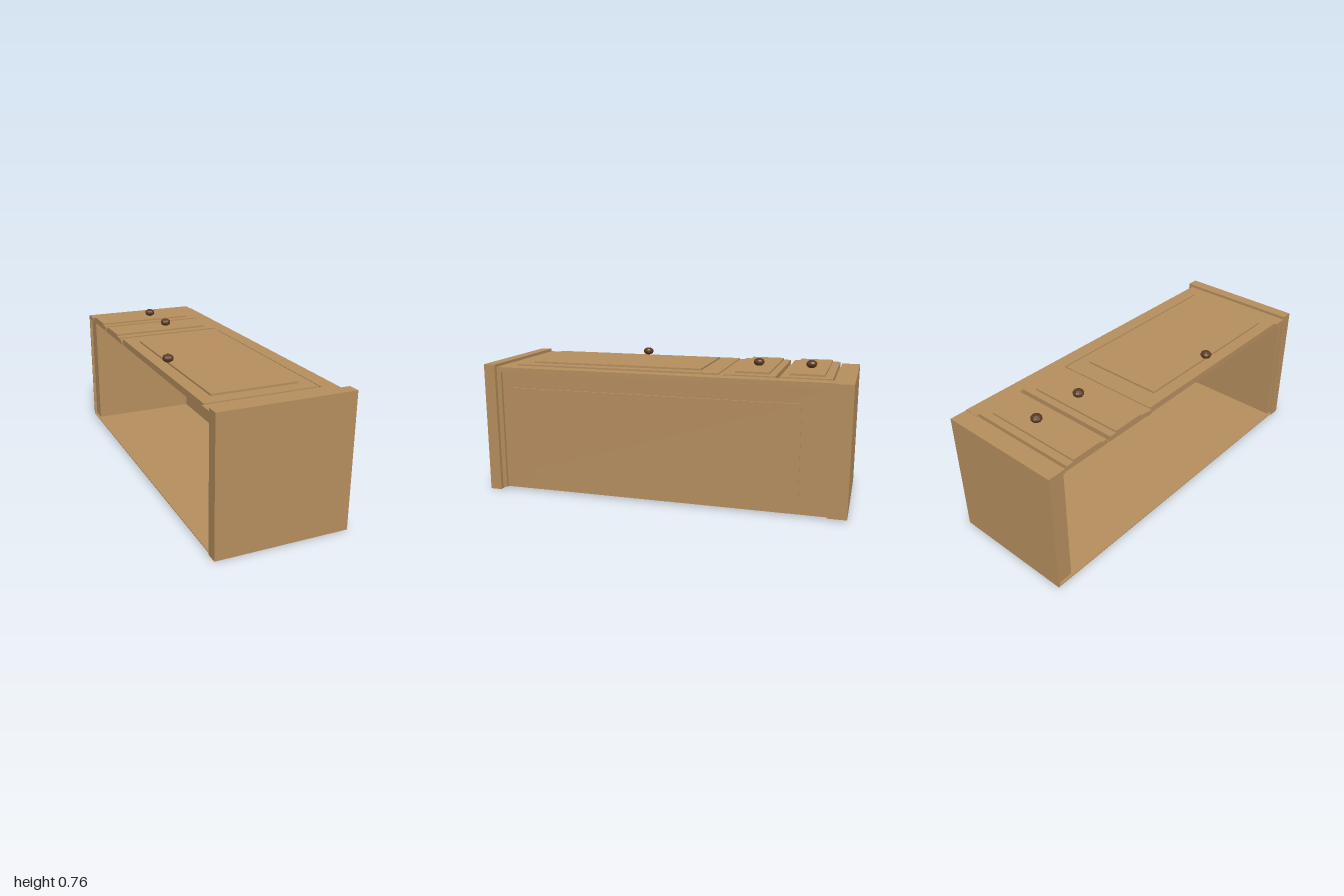
import * as THREE from 'three';

export function createModel() {
  const model = new THREE.Group();
  model.name = 'cabinet';
  const wood = new THREE.MeshStandardMaterial({ color: 0xb58e5e });
  wood.name = 'wood';
  const darkWood = new THREE.MeshStandardMaterial({ color: 0x5c3a20, flatShading: true });
  darkWood.name = 'dark wood';

  // Box given by its minimum and maximum on each axis
  function box(name, [x0, x1], [y0, y1], [z0, z1]) {
    const mesh = new THREE.Mesh(new THREE.BoxGeometry(x1 - x0, y1 - y0, z1 - z0), wood);
    mesh.position.set((x0 + x1) / 2, (y0 + y1) / 2, (z0 + z1) / 2);
    mesh.name = name;
    model.add(mesh);
  }

  const LEFT = -0.357, RIGHT = 0.335, BASE = 0.01, TOP = 0.706;

  // Carcass, open on the -x side
  box('counterSlab', [LEFT, 0.357], [0, 0.722], [0.935, 1]);
  box('backBoard', [LEFT, 0.318], [BASE, 0.015], [-1, 0.935]);
  box('endBoard', [LEFT, RIGHT], [BASE, 0.703], [-1, -0.99]);
  box('endBlock', [-0.342, RIGHT], [BASE, 0.68], [-0.99, -0.9]);
  box('innerStile', [-0.342, RIGHT], [BASE, 0.68], [0.91, 0.935]);

  // Recessed side with its raised panel
  box('sideBoard', [0.29, 0.318], [BASE, 0.68], [-0.9, 0.91]);
  box('sidePanel', [0.318, 0.327], [0.095, 0.592], [-0.75, 0.845]);

  // Face frame around the door and drawers
  box('frameBacking', [-0.345, 0.27], [0.675, 0.685], [-0.95, 0.93]);
  box('frameStile', [0.255, RIGHT], [0.68, TOP], [-0.905, 0.935]);
  box('frameStileEnd', [0.255, RIGHT], [0.68, 0.703], [-0.99, -0.905]);
  box('frameEndRail', [LEFT, 0.255], [0.68, 0.703], [-0.99, -0.9]);
  box('frameMiddleRail', [LEFT, 0.255], [0.68, TOP], [-0.335, -0.305]);
  box('frameFrontRail', [LEFT, 0.255], [0.68, TOP], [0.855, 0.935]);

  // Door and drawer fronts, each with a raised panel and a knob
  const fronts = [
    { name: 'door', x: [-0.347, 0.24], z: [-0.305, 0.855], px: [-0.28, 0.175], pz: [-0.195, 0.78], knob: [-0.28, 0.248] },
    { name: 'lowerDrawer', x: [LEFT, 0.255], z: [-0.605, -0.34], px: [LEFT, 0.197], pz: [-0.565, -0.385], knob: [-0.019, -0.474] },
    { name: 'upperDrawer', x: [LEFT, 0.255], z: [-0.89, -0.63], px: [LEFT, 0.197], pz: [-0.847, -0.667], knob: [-0.019, -0.758] },
  ];
  const knobGeometry = new THREE.SphereGeometry(0.03, 10, 7);
  knobGeometry.scale(1, 0.72, 1);
  for (const f of fronts) {
    box(f.name, f.x, [0.685, 0.712], f.z);
    box(f.name + 'Panel', f.px, [0.712, 0.722], f.pz);
    const knob = new THREE.Mesh(knobGeometry, darkWood);
    knob.position.set(f.knob[0], 0.743, f.knob[1]);
    knob.name = f.name + 'Knob';
    model.add(knob);
  }
  return model;
}
